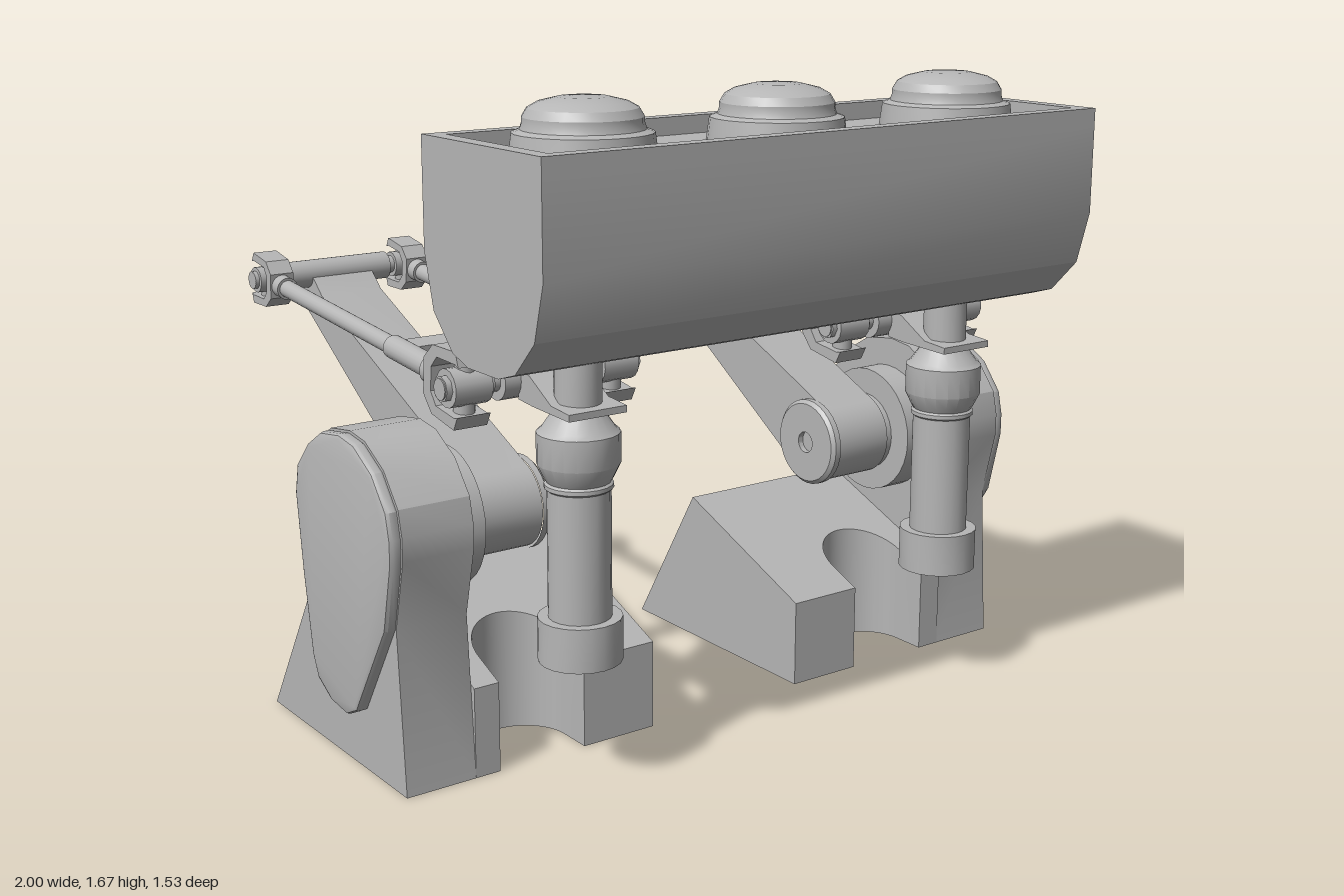
import * as THREE from 'three';
import { toCreasedNormals } from 'three/addons/utils/BufferGeometryUtils.js';

const grey = new THREE.MeshStandardMaterial({ color: 0xb6b6b6 });
grey.name = 'plain grey';

function add(parent, name, geometry, x = 0, y = 0, z = 0) {
  const mesh = new THREE.Mesh(geometry, grey);
  mesh.name = name;
  mesh.position.set(x, y, z);
  parent.add(mesh);
  return mesh;
}

// Side profile given as [z, y] points, extruded from x0 to x1
function sideExtrude(points, x0, x1, bevel = 0) {
  const shape = new THREE.Shape(points.map(([z, y]) => new THREE.Vector2(-z, y)));
  const g = new THREE.ExtrudeGeometry(shape, {
    depth: x1 - x0 - 2 * bevel, bevelEnabled: bevel > 0, bevelSize: bevel,
    bevelThickness: bevel, bevelOffset: -bevel, bevelSegments: 2,
  });
  g.translate(0, 0, x0 + bevel).rotateY(Math.PI / 2);
  return toCreasedNormals(g, 0.45);
}

// Cylinder lying along x
const barX = (r, length, sides = 20) => new THREE.CylinderGeometry(r, r, length, sides).rotateZ(Math.PI / 2);

// Turned part from [radius, y] points, listed upward
function turned(points, sides) {
  const g = new THREE.LatheGeometry(points.map(([r, y]) => new THREE.Vector2(r, y)), sides);
  return toCreasedNormals(g, 0.5);
}

const MID = 0.583;                 // centre of one drive unit in x
const HUB = { y: 0.6, z: 0.09 };   // arm axis
const ELBOW = { y: 1.09, z: -0.71 };
const WRIST = { y: 1.0, z: 0.345 };

// Foot block: rear wedge, and front slope with a round notch
function addFoot(unit) {
  add(unit, 'footRear', sideExtrude([[-0.395, 0], [-0.14, 0], [-0.14, 0.42]], 0.24, 0.775));
  const s = new THREE.Shape();
  s.moveTo(0.24, -0.33);
  s.lineTo(0.455, -0.33);
  s.lineTo(0.455, -0.235);
  s.absarc(0.58, -0.235, 0.125, Math.PI, 0, true);
  s.lineTo(0.705, -0.33);
  s.lineTo(0.775, -0.33);
  s.lineTo(0.775, 0.14);
  s.lineTo(0.24, 0.14);
  const g = new THREE.ExtrudeGeometry(s, { depth: 1, bevelEnabled: false, curveSegments: 20 });
  g.rotateX(-Math.PI / 2);
  const p = g.attributes.position;
  for (let i = 0; i < p.count; i++) {
    if (p.getY(i) > 0.5) p.setY(i, 0.42 - (p.getZ(i) + 0.14) * 0.394);
  }
  g.computeVertexNormals();
  add(unit, 'footFront', toCreasedNormals(g, 0.45));
}

// Upright housing with a teardrop cover on the outside
function addHousing(unit) {
  const crown = [[0.345, 0.6], [0.345, 0.66], [0.33, 0.725], [0.265, 0.805], [0.175, 0.855], [0.1, 0.865],
    [0, 0.85], [-0.075, 0.805], [-0.14, 0.737], [-0.157, 0.66]];
  add(unit, 'housing', sideExtrude(
    [[0.33, 0], [0.302, 0.42], ...crown, [-0.135, 0.42], [-0.395, 0]], 0.775, 0.967));
  add(unit, 'housingCover', sideExtrude([[0.3, 0.42], ...crown.map(([z, y]) => [z * 0.985, y - 0.005]),
    [-0.13, 0.45], [-0.095, 0.24], [-0.07, 0.185], [0, 0.147], [0.085, 0.138], [0.14, 0.165]], 0.96, 1.0, 0.012));
  add(unit, 'gearbox', barX(0.178, 0.09, 32), 0.74, 0.605, HUB.z);
  add(unit, 'driveShaft', barX(0.11, 0.06, 28), 0.685, HUB.y, HUB.z);
}

// Tapered arm with a round hub at the drive end
function addArm(unit) {
  const outline = [[-0.625, 1.042], [-0.69, 1.1], [-0.74, 1.09], [-0.762, 1.02]];
  for (let i = 0; i <= 20; i++) {
    const a = THREE.MathUtils.degToRad(-121 + i * 9.3);
    outline.push([HUB.z + 0.116 * Math.cos(a), HUB.y + 0.116 * Math.sin(a)]);
  }
  add(unit, 'arm', sideExtrude(outline, 0.492, 0.674));
  const cap = turned([[0.122, 0], [0.122, 0.018], [0.112, 0.028], [0.03, 0.028], [0.03, 0.012], [0, 0.012]], 32);
  add(unit, 'hubCap', cap.rotateZ(Math.PI / 2), 0.494, HUB.y, HUB.z);
  add(unit, 'elbowBar', barX(0.038, 0.3), MID, ELBOW.y, ELBOW.z);
  add(unit, 'elbowPin', barX(0.024, 0.51), MID, ELBOW.y, ELBOW.z);
}

// U-shaped fork, opening toward +z, with its cross piece
function addFork(parent, name, scale) {
  const fork = new THREE.Group();
  fork.name = name;
  const outer = [[0.045, 0.06], [0.03, 0.095], [-0.075, 0.085], [-0.115, 0.045]];
  const inner = [[-0.08, 0.03], [-0.055, 0.06], [0.03, 0.065]];
  const down = (list) => list.map(([z, y]) => [z, -y]).reverse();
  add(fork, 'yoke', sideExtrude([...outer, ...down(outer), ...down(inner), ...inner], -0.045, 0.045));
  add(fork, 'crossPin', new THREE.CylinderGeometry(0.026, 0.026, 0.17, 16));
  add(fork, 'crossHub', barX(0.047, 0.1, 16));
  add(fork, 'pinHead', barX(0.032, 0.13, 8));
  fork.scale.setScalar(scale);
  parent.add(fork);
  return fork;
}

// Pair of parallel rods between elbow and wrist, joined by a brace
function addRods(unit) {
  const dy = ELBOW.y - WRIST.y, dz = WRIST.z - ELBOW.z;
  const length = Math.hypot(dy, dz);
  const pair = new THREE.Group();
  pair.name = 'parallelRods';
  pair.position.set(MID, WRIST.y, WRIST.z);
  pair.rotation.x = Math.atan2(dy, dz);
  const rodZ = (r, a, b) => new THREE.CylinderGeometry(r, r, b - a, 18)
    .rotateX(Math.PI / 2).translate(0, 0, -(a + b) / 2);
  for (const x of [-0.207, 0.207]) {
    add(pair, 'rodSleeve', rodZ(0.03, 0.13, 0.345), x);
    add(pair, 'rodCollar', rodZ(0.04, 0.11, 0.145), x);
    add(pair, 'rod', rodZ(0.023, 0.3, length - 0.08), x);
    add(pair, 'rodEnd', rodZ(0.03, length - 0.12, length - 0.075), x);
    addFork(pair, 'wristFork', 1).position.x = x;
    const far = addFork(pair, 'elbowFork', 0.74);
    far.position.set(x, 0, -length);
    far.rotation.y = Math.PI;
  }
  add(pair, 'brace', new THREE.BoxGeometry(0.4, 0.03, 0.07), 0, 0, -0.309);
  unit.add(pair);
}

// Hanging post under the beam, with the wrist bar and its lever
function addPost(unit) {
  add(unit, 'post', turned([[0, 0.33], [0.103, 0.33], [0.103, 0.44], [0.077, 0.44], [0.077, 0.755], [0.083, 0.76],
    [0.083, 0.77], [0.077, 0.775], [0.083, 0.785], [0.1, 0.82], [0.1, 0.895], [0.088, 0.905], [0.057, 0.95],
    [0.057, 1.09]], 20), 0.585, 0, 0.512);
  add(unit, 'lever', sideExtrude([[0.595, 0.945], [0.595, 0.962], [0.52, 0.968], [0.43, 1.02], [0.38, 1.035],
    [0.38, 0.955], [0.44, 0.95]], 0.505, 0.665));
  add(unit, 'wristBar', barX(0.048, 0.25), MID, WRIST.y, WRIST.z);
  add(unit, 'wristPin', barX(0.026, 0.55), MID, WRIST.y, WRIST.z);
}

// Trough-shaped beam with a raised rim and three domes
function addBeam(model) {
  const half = [[0.254, 1.535], [0.254, 1.31], [0.217, 1.175], [0.135, 1.09], [0.065, 1.068]];
  const profile = [...half, ...half.map(([z, y]) => [-z, y]).reverse()].map(([z, y]) => [z + 0.514, y]);
  add(model, 'beam', sideExtrude(profile, -0.84, 0.84));
  const rim = new THREE.Shape();
  const hole = new THREE.Path();
  const rect = (path, w, d) => path.moveTo(-w, -d).lineTo(w, -d).lineTo(w, d).lineTo(-w, d).closePath();
  rect(rim, 0.84, 0.254);
  rect(hole, 0.797, 0.212);
  rim.holes.push(hole);
  const g = new THREE.ExtrudeGeometry(rim, { depth: 0.045, bevelEnabled: false }).rotateX(-Math.PI / 2);
  add(model, 'beamRim', g, 0, 1.535, 0.514);
  for (const x of [-0.563, 0, 0.563]) {
    add(model, 'dome', turned([[0.172, 1.53], [0.164, 1.59], [0.145, 1.597], [0.14, 1.612], [0.14, 1.625],
      [0.128, 1.645], [0.105, 1.658], [0.06, 1.669], [0, 1.673]], 28), x, 0, 0.51);
  }
}

export function createModel() {
  const model = new THREE.Group();
  model.name = 'twinArmMachine';
  addBeam(model);
  for (const side of [1, -1]) {
    const unit = new THREE.Group();
    unit.name = side > 0 ? 'leftDriveUnit' : 'rightDriveUnit';
    addFoot(unit);
    addHousing(unit);
    addArm(unit);
    addRods(unit);
    addPost(unit);
    unit.scale.x = side;
    model.add(unit);
  }
  return model;
}
